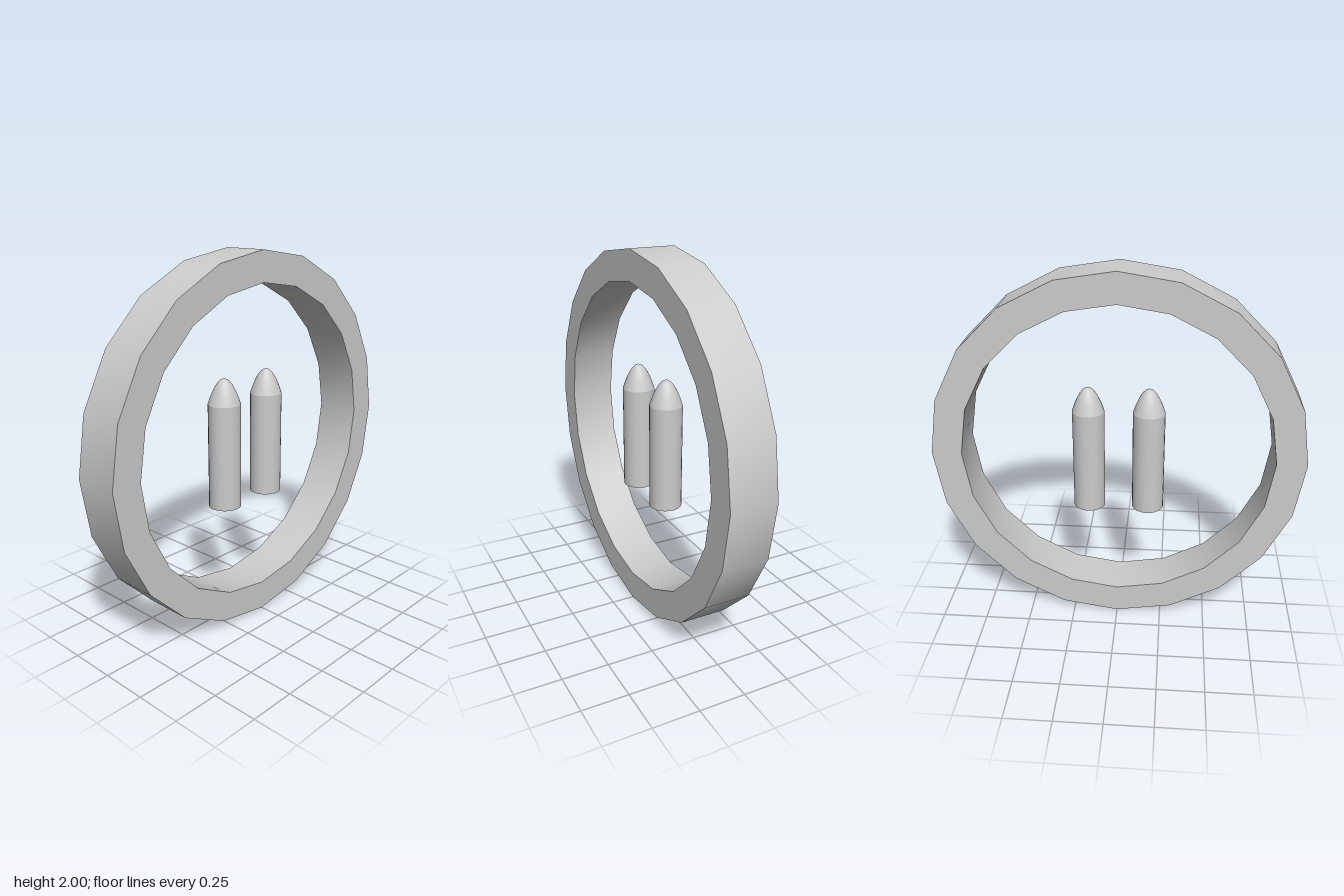
import * as THREE from 'three';
import { toCreasedNormals } from 'three/addons/utils/BufferGeometryUtils.js';

const material = new THREE.MeshStandardMaterial({ color: 0xcccccc });

function addMesh(parent, name, geometry) {
  const mesh = new THREE.Mesh(geometry, material);
  mesh.name = name;
  parent.add(mesh);
  return mesh;
}

// Corners of a regular polygon around the origin
function polygon(radius, sides) {
  return Array.from({ length: sides }, (_, i) => {
    const a = (i / sides) * Math.PI * 2;
    return new THREE.Vector2(Math.cos(a) * radius, Math.sin(a) * radius);
  });
}

export function createModel() {
  const model = new THREE.Group();

  // Upright twenty-sided ring with smooth walls and flat sides
  const width = 0.25;
  const shape = new THREE.Shape(polygon(1, 20));
  shape.holes.push(new THREE.Path(polygon(0.838, 20)));
  const ring = new THREE.ExtrudeGeometry(shape, { depth: width, bevelEnabled: false });
  ring.translate(0, 0, -width / 2).rotateY(Math.PI / 2);
  addMesh(model, 'ring', toCreasedNormals(ring, 0.6)).position.y = 1;

  // Two round-nosed posts standing inside the ring
  const radius = 0.087, bottom = 0.65, shoulder = 1.22, tip = 1.355;
  const noseProfile = [];
  for (let i = 0; i <= 10; i++) {
    const r = 1 - i / 10;
    noseProfile.push(new THREE.Vector2(r * radius, (tip - shoulder) * (1 - r * r)));
  }
  for (const side of [1, -1]) {
    const post = new THREE.Group();
    post.name = side > 0 ? 'frontPost' : 'backPost';
    post.position.z = side * 0.163;
    const height = shoulder - bottom;
    addMesh(post, 'postBody', new THREE.CylinderGeometry(radius, radius, height, 24)).position.y = bottom + height / 2;
    addMesh(post, 'postNose', new THREE.LatheGeometry(noseProfile, 24)).position.y = shoulder;
    model.add(post);
  }

  return model;
}
